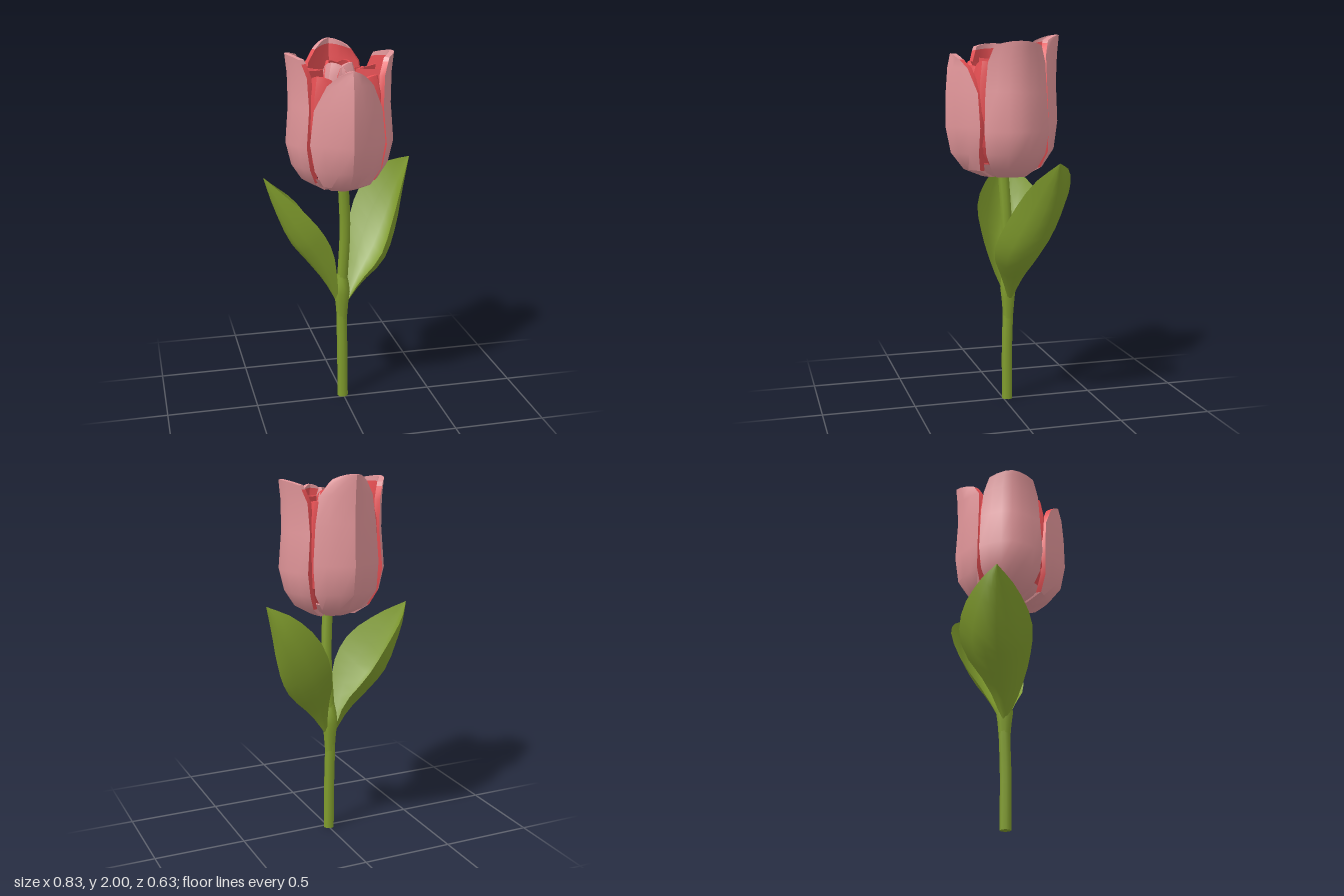
import * as THREE from 'three';
import { toCreasedNormals } from 'three/addons/utils/BufferGeometryUtils.js';

const mat = (name, color, side = THREE.FrontSide) => {
  const m = new THREE.MeshStandardMaterial({ color, side });
  m.name = name;
  return m;
};

// Closed petal shell. Rows run bottom to top: [y, distance out, half width, how far the edges curl in]
function petalGeometry(profile, { power = 1.4, drop = 0.02, thick = 0.018 } = {}) {
  // Extra row just under the tip, so only a narrow rim takes the outside colour
  const [below, tip] = profile.slice(-2);
  const rows = [...profile.slice(0, -1), below.map((v, i) => v + (tip[i] - v) * 0.72), tip];
  const us = [-1, -0.7, -0.35, 0, 0.35, 0.7, 1], n = us.length, ring = n * 2;
  const pos = [], outer = [], inner = [];
  const top = rows.length - 1;
  rows.forEach(([y, r, w, inset], j) => {
    const dip = drop * (j / top) ** 3;
    const point = (u, t) => pos.push(u * (w - t * 0.5), y - dip * u * u, r - inset * Math.abs(u) ** power - t);
    us.forEach(u => point(u, 0));
    [...us].reverse().forEach(u => point(u, thick));
  });
  const quad = (list, a, b, c, d) => list.push(a, b, c, a, c, d);
  for (let j = 0; j < top; j++) {
    for (let i = 0; i < ring; i++) {
      const k = (i + 1) % ring, a = j * ring;
      const inside = i >= n - 1 && j > 0 && j < top - 1;
      quad(inside ? inner : outer, a + i, a + k, a + ring + k, a + ring + i);
    }
  }
  // Rim along the top and closing strip along the bottom
  for (let i = 0; i < n - 1; i++) {
    const a = top * ring;
    quad(outer, a + i, a + i + 1, a + ring - 2 - i, a + ring - 1 - i);
    quad(outer, i + 1, i, ring - 1 - i, ring - 2 - i);
  }
  const g = new THREE.BufferGeometry();
  g.setAttribute('position', new THREE.Float32BufferAttribute(pos, 3));
  g.setIndex([...outer, ...inner]);
  g.addGroup(0, outer.length, 0);
  g.addGroup(outer.length, inner.length, 1);
  return toCreasedNormals(g, 0.6);
}

// Leaf lofted through a front edge, a midrib and a back edge
function leafGeometry(base, tip, front, rib, back) {
  const curve = pts => new THREE.CatmullRomCurve3([base, ...pts, tip].map(p => new THREE.Vector3(...p)));
  const [f, m, b] = [front, rib, back].map(curve);
  const rows = 12, cols = 6, pos = [], idx = [];
  for (let j = 0; j <= rows; j++) {
    const [pf, pm, pb] = [f, m, b].map(c => c.getPoint(j / rows));
    for (let i = 0; i <= cols; i++) {
      const s = (i / cols) * 2 - 1;
      const p = new THREE.Vector3()
        .addScaledVector(pf, s * (s - 1) / 2)
        .addScaledVector(pm, 1 - s * s)
        .addScaledVector(pb, s * (s + 1) / 2);
      pos.push(p.x, p.y, p.z);
      if (j < rows && i < cols) {
        const a = j * (cols + 1) + i, c = a + cols + 1;
        idx.push(a, a + 1, c + 1, a, c + 1, c);
      }
    }
  }
  const g = new THREE.BufferGeometry();
  g.setAttribute('position', new THREE.Float32BufferAttribute(pos, 3));
  g.setIndex(idx);
  g.computeVertexNormals();
  return g;
}

export function createModel() {
  const model = new THREE.Group();
  model.name = 'tulip';
  const pink = mat('petalPink', 0xe2969a);
  const red = mat('petalRed', 0xe64f53);
  const green = mat('stemGreen', 0x809c2d);
  const leafGreen = mat('leafGreen', 0x809c2d, THREE.DoubleSide);
  const add = (parent, name, geometry, material) => {
    const mesh = new THREE.Mesh(geometry, material);
    mesh.name = name;
    parent.add(mesh);
    return mesh;
  };
  const lathe = (pts, sides) => new THREE.LatheGeometry(pts.map(p => new THREE.Vector2(...p)), sides);

  // Stem: gently bent, swelling where the leaves join
  const path = new THREE.CatmullRomCurve3([
    [-0.003, 0, -0.022], [-0.006, 0.3, -0.022], [-0.008, 0.6, -0.03], [0.008, 1, -0.015], [-0.005, 1.27, 0]
  ].map(p => new THREE.Vector3(...p)));
  add(model, 'stem', new THREE.TubeGeometry(path, 16, 0.03, 8), green);
  const foot = add(model, 'stemEnd', new THREE.CircleGeometry(0.03, 8), green);
  foot.rotation.x = Math.PI / 2;
  foot.position.set(-0.003, 0.001, -0.022);
  const joint = add(model, 'leafJoint', lathe([[0.028, 0.46], [0.037, 0.57], [0.045, 0.63], [0.04, 0.68], [0.022, 0.76]], 8), green);
  joint.position.set(-0.006, 0, -0.028);

  // Leaves
  add(model, 'leftLeaf', leafGeometry([0.012, 0.55, -0.03], [0.415, 1.35, -0.18],
    [[0.08, 0.7, 0.03], [0.18, 0.87, 0.1], [0.26, 1.05, 0.045], [0.345, 1.24, -0.06]],
    [[0.1, 0.68, -0.05], [0.22, 0.81, -0.08], [0.3, 0.96, -0.13], [0.36, 1.16, -0.18]],
    [[0.045, 0.74, -0.12], [0.085, 0.97, -0.26], [0.18, 1.18, -0.313], [0.3, 1.3, -0.27]]), leafGreen);
  add(model, 'rightLeaf', leafGeometry([-0.025, 0.55, -0.03], [-0.42, 1.29, -0.115],
    [[-0.05, 0.74, 0.05], [-0.09, 0.93, 0.1], [-0.18, 1.08, 0.1], [-0.32, 1.21, 0]],
    [[-0.1, 0.69, -0.05], [-0.2, 0.82, -0.08], [-0.28, 0.92, -0.1], [-0.37, 1.13, -0.11]],
    [[-0.05, 0.75, -0.12], [-0.12, 0.95, -0.27], [-0.22, 1.1, -0.28], [-0.35, 1.22, -0.2]]), leafGreen);

  // Flower head
  const flower = new THREE.Group();
  flower.name = 'flower';
  flower.position.set(-0.02, 0, -0.005);
  model.add(flower);
  const petal = (name, angle, rows, options, outside = pink) => {
    const mesh = add(flower, name, petalGeometry(rows, options), [outside, red]);
    mesh.rotation.y = angle;
    return mesh;
  };
  const H = Math.PI / 2, thick = 0.026;

  // Four outer petals
  petal('frontPetal', 0, [
    [1.25, 0.12, 0.07, 0.03], [1.29, 0.22, 0.125, 0.06], [1.38, 0.29, 0.175, 0.11], [1.52, 0.318, 0.198, 0.14],
    [1.7, 0.315, 0.178, 0.13], [1.83, 0.305, 0.12, 0.08], [1.9, 0.29, 0.055, 0.02]], { power: 1.25, thick });
  petal('backPetal', Math.PI, [
    [1.25, 0.12, 0.07, 0.03], [1.3, 0.22, 0.125, 0.05], [1.39, 0.285, 0.175, 0.09], [1.54, 0.305, 0.185, 0.11],
    [1.75, 0.295, 0.17, 0.105], [1.9, 0.3, 0.148, 0.11], [2, 0.31, 0.09, 0.09]], { power: 1.25, drop: 0.03, thick });
  for (const side of [1, -1]) {
    petal(side > 0 ? 'leftPetal' : 'rightPetal', side * H, [
      [1.25, 0.12, 0.08, 0.02], [1.3, 0.21, 0.125, 0.05], [1.38, 0.262, 0.16, 0.07], [1.5, 0.291, 0.174, 0.08],
      [1.7, 0.275, 0.165, 0.08], [1.86, 0.278, 0.153, 0.075], [1.96, 0.289, 0.122, 0.055]],
      { power: 1.7, thick }).position.z = -0.015;
    // Inner side petals, folded so both edges flare outwards from a central crease
    petal('innerSidePetal', side * H, [
      [1.45, 0.11, 0.07, -0.07], [1.6, 0.11, 0.085, -0.1], [1.75, 0.105, 0.1, -0.125], [1.87, 0.105, 0.105, -0.13]],
      { power: 1.1, drop: -0.01 }, red).position.z = -0.015;
  }

  // Inner front and back petals
  for (const angle of [0, Math.PI]) {
    petal('innerPetal', angle, [
      [1.32, 0.15, 0.1, 0.04], [1.5, 0.24, 0.15, 0.1], [1.7, 0.23, 0.14, 0.09], [1.84, 0.2, 0.08, 0.05]], {}, red);
  }

  // Diagonal inner petals showing through the gaps, wider at the back
  for (let i = 0; i < 4; i++) {
    const r = i === 1 || i === 2 ? 0.26 : 0.25;
    petal('gapPetal', H * (i + 0.5), [
      [1.33, 0.17, 0.07, 0.02], [1.42, r - 0.01, 0.11, 0.07], [1.6, r, 0.12, 0.08],
      [1.76, r - 0.008, 0.1, 0.08], [1.86, r - 0.03, 0.06, 0.04]], {}, red);
  }

  // Rolled bud in the middle, an outer and an inner whorl
  const bud = (name, outsides, r, w, top, turn) => outsides.forEach((outside, i) => {
    petal(name, turn + i * Math.PI * 2 / outsides.length, [
      [1.5, r * 0.9, w, r * 0.55], [1.7, r * 1.15, w * 1.1, r * 0.6], [top - 0.06, r, w, r * 0.55],
      [top, r * 0.8, w * 0.7, r * 0.3]], { thick: 0.014 }, outside).position.z = -0.025;
  });
  bud('budPetal', [pink, red, red, pink], 0.095, 0.078, 1.91, H / 2);
  bud('budHeart', [red, red, red], 0.05, 0.045, 1.88, 0.5);

  // Red core and pink underside
  add(flower, 'core', lathe([[0, 1.29], [0.11, 1.31], [0.17, 1.38], [0.2, 1.48], [0.19, 1.6], [0.12, 1.71], [0, 1.77]], 12), red);
  add(flower, 'flowerBase', lathe([[0, 1.245], [0.1, 1.252], [0.165, 1.28], [0.2, 1.325]], 12), pink);
  return model;
}
